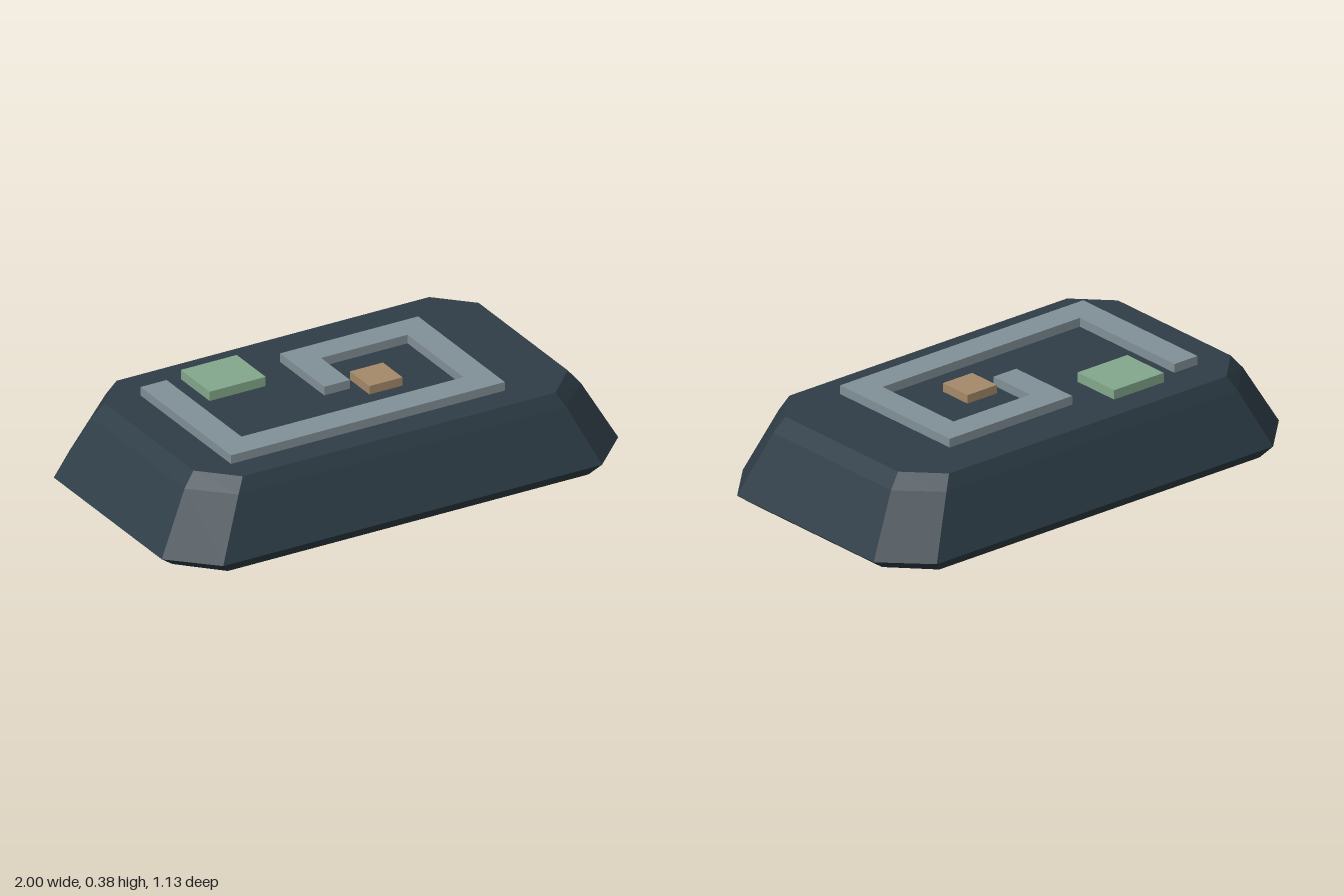
import * as THREE from 'three';

const material = (name, color) => {
  const m = new THREE.MeshStandardMaterial({ color });
  m.name = name;
  return m;
};

// Octagonal outline: half width, half depth, and where the corner cuts begin
function octagon([y, w, d, cx, cz]) {
  return [[w, -cz], [w, cz], [cx, d], [-cx, d], [-w, cz], [-w, -cz], [-cx, -d], [cx, -d]]
    .map(([x, z]) => [x, y, z]);
}

// Skin stacked outlines with flat faces and cap both ends
function loft(sections) {
  const loops = sections.map(octagon);
  const pos = [];
  const tri = (a, b, c) => pos.push(...a, ...b, ...c);
  for (let s = 0; s < loops.length - 1; s++) {
    const lo = loops[s], hi = loops[s + 1];
    for (let i = 0; i < 8; i++) {
      const j = (i + 1) % 8;
      tri(lo[i], hi[i], hi[j]);
      tri(lo[i], hi[j], lo[j]);
    }
  }
  const bottom = loops[0], top = loops[loops.length - 1];
  for (let i = 1; i < 7; i++) {
    tri(bottom[0], bottom[i], bottom[i + 1]);
    tri(top[0], top[i + 1], top[i]);
  }
  const g = new THREE.BufferGeometry();
  g.setAttribute('position', new THREE.Float32BufferAttribute(pos, 3));
  g.computeVertexNormals();
  return g;
}

export function createModel() {
  const model = new THREE.Group();
  model.name = 'engravedSlab';
  const add = (name, geometry, mat) => {
    const mesh = new THREE.Mesh(geometry, mat);
    mesh.name = name;
    model.add(mesh);
    return mesh;
  };
  const TOP = 0.343;

  // Bevelled slab: height, half width, half depth, corner x, corner z
  add('slab', loft([
    [0, 0.94, 0.532, 0.79, 0.375],
    [0.045, 1, 0.565, 0.83, 0.398],
    [0.285, 0.868, 0.489, 0.718, 0.343],
    [TOP, 0.82, 0.465, 0.685, 0.328],
  ]), material('darkSlate', 0x2f3e48));

  // Raised spiral track, drawn as (x, -z) and laid flat on the slab
  const outline = [
    [-0.67, -0.313], [-0.67, 0.353], [0.53, 0.353], [0.53, -0.286],
    [-0.075, -0.286], [-0.075, 0.04], [0.038, 0.04], [0.038, -0.174],
    [0.417, -0.174], [0.417, 0.238], [-0.556, 0.238], [-0.556, -0.313],
  ].map(([x, z]) => new THREE.Vector2(x, -z));
  const track = new THREE.ExtrudeGeometry(new THREE.Shape(outline), { depth: 0.036, bevelEnabled: false });
  track.rotateX(-Math.PI / 2);
  add('spiralTrack', track, material('greyBlue', 0x829198)).position.y = TOP;

  // Small raised tiles
  const tile = (name, x0, x1, z0, z1, h, mat) =>
    add(name, new THREE.BoxGeometry(x1 - x0, h, z1 - z0), mat)
      .position.set((x0 + x1) / 2, TOP + h / 2, (z0 + z1) / 2);
  tile('greenTile', -0.47, -0.225, -0.353, -0.14, 0.039, material('sageGreen', 0x84a98c));
  tile('tanTile', 0.075, 0.22, -0.024, 0.12, 0.035, material('tan', 0xa68a6a));

  return model;
}
